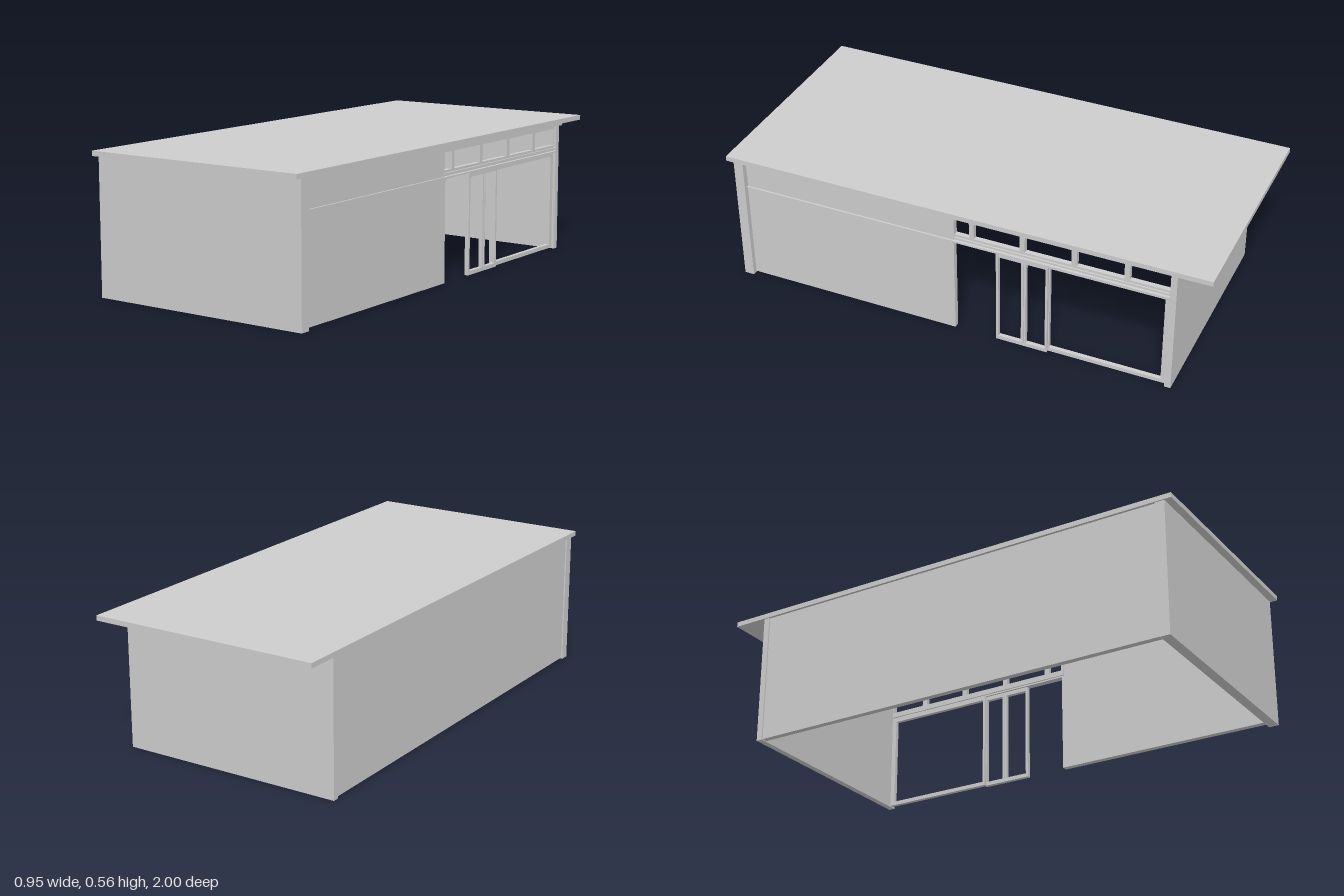
import * as THREE from 'three';

export function createModel() {
  const group = new THREE.Group();
  const grey = new THREE.MeshStandardMaterial({ color: 0xcccccc });
  grey.name = 'light grey';

  // Box given by its limits on each axis
  const box = (name, [x0, x1], [y0, y1], [z0, z1]) => {
    const mesh = new THREE.Mesh(new THREE.BoxGeometry(x1 - x0, y1 - y0, z1 - z0), grey);
    mesh.name = name;
    mesh.position.set((x0 + x1) / 2, (y0 + y1) / 2, (z0 + z1) / 2);
    group.add(mesh);
  };

  // Rectangular panel in the z-y plane with rectangular openings
  const panel = (name, [x0, x1], [y0, y1], [z0, z1], openings) => {
    const rect = (path, a, b, c, d) =>
      path.moveTo(-a, c).lineTo(-b, c).lineTo(-b, d).lineTo(-a, d).closePath();
    const shape = new THREE.Shape();
    rect(shape, z1, z0, y0, y1);
    for (const [a, b, c, d] of openings) {
      const hole = new THREE.Path();
      rect(hole, b, a, c, d);
      shape.holes.push(hole);
    }
    const geometry = new THREE.ExtrudeGeometry(shape, { depth: x1 - x0, bevelEnabled: false });
    geometry.rotateY(Math.PI / 2);
    geometry.translate(x0, 0, 0);
    const mesh = new THREE.Mesh(geometry, grey);
    mesh.name = name;
    group.add(mesh);
  };

  // Roof slab and solid walls, open underneath
  box('roof', [-0.475, 0.475], [0.54, 0.56], [-1, 1]);
  box('frontWall', [-0.47, 0.47], [0, 0.54], [0.93, 0.97]);
  box('backWall', [-0.47, 0.45], [0, 0.54], [-0.86, -0.835]);
  box('leftWall', [-0.464, -0.44], [0.004, 0.54], [-0.835, 0.93]);

  // Solid half of the right side
  box('rightWall', [0.425, 0.449], [0.004, 0.415], [0.03, 0.93]);
  box('rightUpperPanel', [0.425, 0.446], [0.42, 0.527], [0.03, 0.93]);
  box('rightLedge', [0.425, 0.453], [0.415, 0.422], [-0.835, 0.93]);
  box('eaveTrim', [0.43, 0.453], [0.527, 0.54], [-0.88, 0.93]);

  // Row of high windows
  const windows = [[-0.03, 0.03]];
  for (let i = 0; i < 4; i++) {
    const start = -0.05 - i * 0.2085;
    windows.push([Math.max(start - 0.187, -0.832), start]);
  }
  panel('clerestoryFrame', [0.42, 0.44], [0.422, 0.527], [-0.836, 0.04],
    windows.map(([a, b]) => [a, b, 0.445, 0.515]));
  box('clerestorySill', [0.42, 0.447], [0.427, 0.435], [-0.835, 0.03]);

  // Door frame with two leaves, and the large window beside it
  panel('doorFrame', [0.432, 0.449], [0.004, 0.415], [-0.356, -0.144],
    [[-0.248, -0.154, 0.02, 0.398], [-0.347, -0.268, 0.02, 0.398]]);
  box('doorMeetingStile', [0.428, 0.453], [0.02, 0.398], [-0.26, -0.256]);
  panel('largeWindowFrame', [0.42, 0.437], [0.004, 0.415], [-0.836, -0.35],
    [[-0.815, -0.36, 0.02, 0.398]]);

  return group;
}
